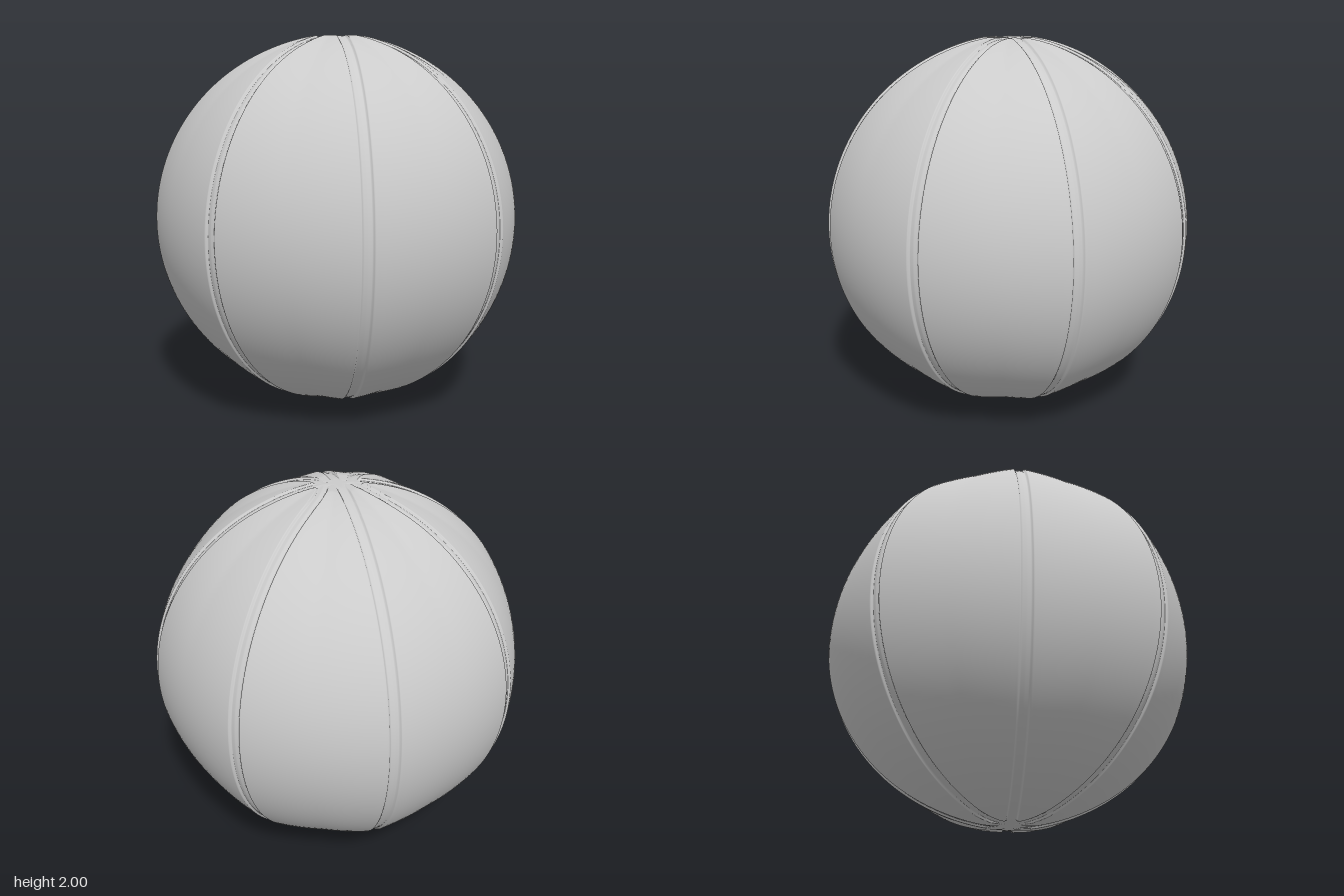
import * as THREE from 'three';

const COLS = 40;               // columns per octant, crowded around each seam
const CAP = 0.32, CAP_ROWS = 48, BODY_ROWS = 32;
const HALF_WIDTH = 0.026, WALL = 0.004, DEPTH = 0.012;

// Bent seam: runs in along +x, then turns to join the diagonal seam near the pole
const bend = [new THREE.Vector2(1.2, 0), ...new THREE.QuadraticBezierCurve(
  new THREE.Vector2(0.32, 0), new THREE.Vector2(0.12, 0), new THREE.Vector2(0.055, 0.055)).getPoints(8)];

function segmentDistance(x, z, p, q) {
  const dx = q.x - p.x, dz = q.y - p.y;
  const t = THREE.MathUtils.clamp(((x - p.x) * dx + (z - p.y) * dz) / (dx * dx + dz * dz), 0, 1);
  return Math.hypot(x - p.x - t * dx, z - p.y - t * dz);
}

// Minimum with a soft corner, so panel tips come out rounded
function softMin(a, b, k = 0.02) {
  const h = Math.max(k - Math.abs(a - b), 0) / k;
  return Math.min(a, b) - h * h * k / 4;
}

// Distance to the nearest seam in plan; folding gives all eight seams from three
function seamDistance(x, z) {
  const a = Math.abs(x + z) * Math.SQRT1_2, b = Math.abs(x - z) * Math.SQRT1_2;
  const fx = (a + b) * Math.SQRT1_2, fz = (a - b) * Math.SQRT1_2;
  let d = Infinity;
  for (let i = 1; i < bend.length; i++) d = Math.min(d, segmentDistance(fx, fz, bend[i - 1], bend[i]));
  return softMin(softMin(a, b), d);
}

// Panels sag slightly between seams; grooves are sunk along them
function radiusAt(theta, x, z) {
  const d = seamDistance(x, z);
  const away = 1 - Math.min(1, d / 0.39);
  const polar = Math.min(theta, Math.PI - theta);
  const lip = 0.977 + 0.027 * away * away + 0.011 * Math.exp(-((polar / 0.3) ** 2));
  return lip - DEPTH * (1 - THREE.MathUtils.smoothstep(d, HALF_WIDTH - WALL, HALF_WIDTH + WALL));
}

// Column angle: inner half of the octant covers the groove, outer half the panel
function columnAngle(j, theta) {
  const octant = Math.floor(j / COLS), t = (j % COLS) / (COLS / 2) - 1;
  const full = Math.PI / 8, inner = Math.min(0.045 / Math.max(Math.sin(theta), 1e-4), full / 2);
  const u = Math.abs(t);
  const offset = u < 0.5 ? inner * u * 2 : inner + (full - inner) * (u - 0.5) * 2;
  return octant * Math.PI / 4 + Math.sign(t) * offset;
}

function ballGeometry() {
  // Fine rows at the poles, wider rows on the body, mirrored top to bottom
  const half = [];
  for (let i = 0; i < CAP_ROWS; i++) half.push(CAP * i / CAP_ROWS);
  for (let i = 0; i < BODY_ROWS; i++) half.push(CAP + (Math.PI / 2 - CAP) * i / BODY_ROWS);
  const rows = [...half, Math.PI / 2, ...half.slice().reverse().map((t) => Math.PI - t)];

  const n = COLS * 8, positions = [], index = [];
  rows.forEach((theta, i) => {
    for (let j = 0; j < n; j++) {
      const phi = columnAngle(j, theta), s = Math.sin(theta);
      const x = s * Math.cos(phi), z = s * Math.sin(phi);
      const r = radiusAt(theta, x, z);
      const y = THREE.MathUtils.clamp(r * Math.cos(theta), -1, 1);
      positions.push(r * x, y + 1, r * z);
      if (i === rows.length - 1) continue;
      const k = (j + 1) % n;
      const a = i * n + j, c = i * n + k, b = a + n, d = c + n;
      if (i > 0) index.push(a, c, b);
      if (i < rows.length - 2) index.push(c, d, b);
    }
  });
  const geometry = new THREE.BufferGeometry();
  geometry.setAttribute('position', new THREE.Float32BufferAttribute(positions, 3));
  geometry.setIndex(index);
  geometry.computeVertexNormals();
  // Pole rows share one point each, so give them a straight normal
  for (let j = 0; j < n; j++) {
    geometry.attributes.normal.setXYZ(j, 0, 1, 0);
    geometry.attributes.normal.setXYZ((rows.length - 1) * n + j, 0, -1, 0);
  }
  return geometry;
}

export function createModel() {
  const group = new THREE.Group();
  group.name = 'groovedBall';
  const ball = new THREE.Mesh(ballGeometry(), new THREE.MeshStandardMaterial({ color: 0xcccccc }));
  ball.name = 'ball';
  group.add(ball);
  return group;
}
